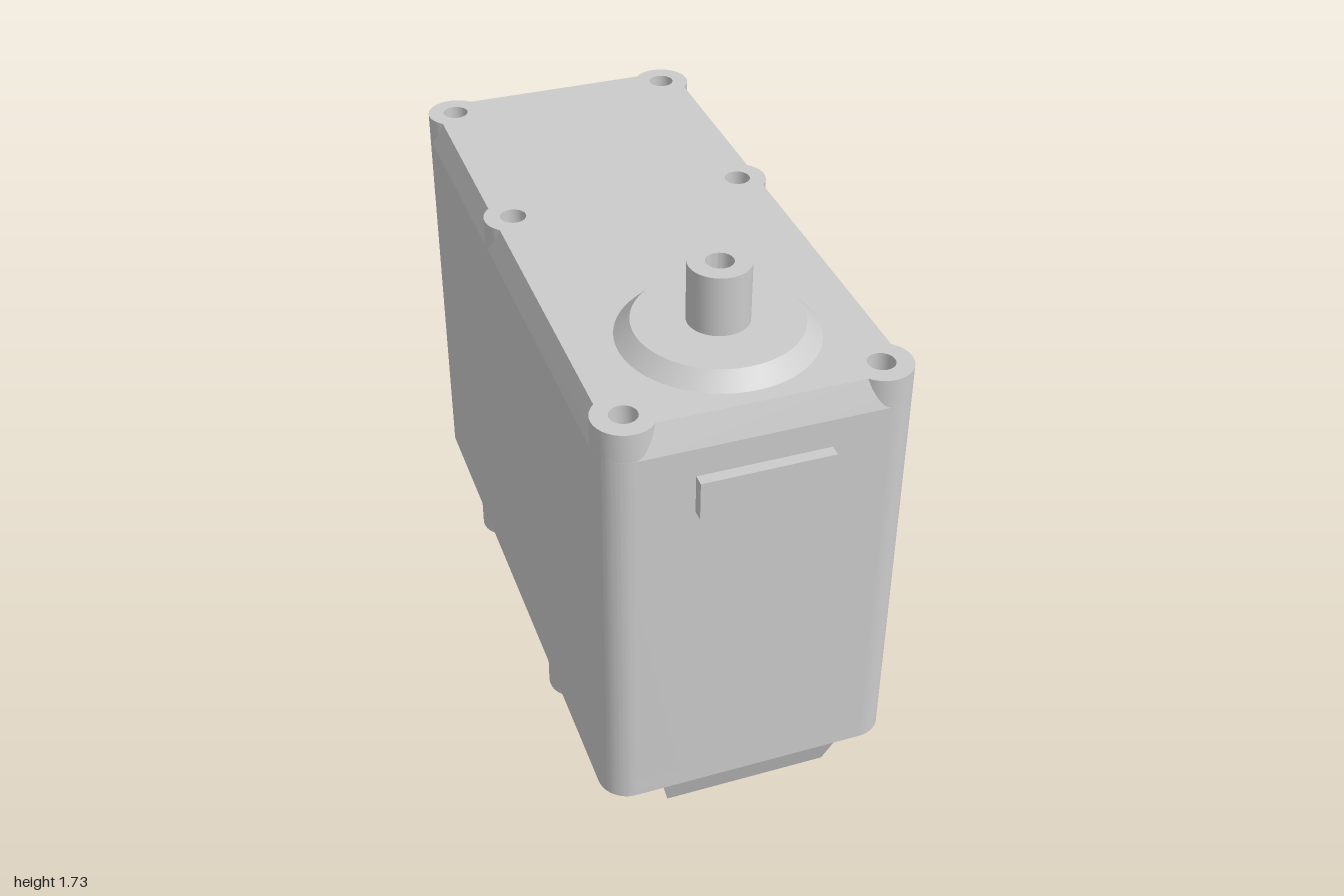
import * as THREE from 'three';
import { toCreasedNormals } from 'three/addons/utils/BufferGeometryUtils.js';

const HX = 0.455, HZ = 0.9825, R = 0.09; // half width, half length, corner/boss radius
const CX = HX - R, CZ = HZ - R;          // screw axis distances from centre
const HOLE = 0.04, INSET = 0.03;
const material = new THREE.MeshStandardMaterial({ color: 0xcccccc, side: THREE.DoubleSide });

function add(parent, name, geometry, x = 0, y = 0, z = 0) {
  const mesh = new THREE.Mesh(toCreasedNormals(geometry, 0.5), material);
  mesh.name = name;
  mesh.position.set(x, y, z);
  parent.add(mesh);
  return mesh;
}

// Rectangle outline (shape y = -z) with an arc at each corner, plus round side bosses.
// Corners bulge around their screw axis, or are scooped out when concave.
function outline(inset, cornerR, concave = false, bosses = []) {
  const shape = new THREE.Shape();
  const d = R - inset;
  let first = true;
  const arc = ([x, y], r, from, to, clockwise) => {
    const a = Math.acos(Math.min(1, d / r));
    if (first) shape.moveTo(x + r * Math.cos(from - a), y + r * Math.sin(from - a));
    first = false;
    shape.absarc(x, y, r, from - a, to + a, clockwise);
  };
  const corners = [[CX, -CZ], [CX, CZ], [-CX, CZ], [-CX, -CZ]];
  corners.forEach((c, k) => {
    const n = (k - 1) * Math.PI / 2;
    arc(c, cornerR, n, n + Math.PI / 2, concave);
    for (const b of bosses[k] || []) arc(b, R, n + Math.PI / 2, n + Math.PI / 2, false);
  });
  return shape;
}

function drill(shape, points) {
  for (const [x, y] of points) {
    const hole = new THREE.Path();
    hole.absarc(x, y, HOLE, 0, Math.PI * 2, true);
    shape.holes.push(hole);
  }
  return shape;
}

const slab = (shape, y0, y1) =>
  new THREE.ExtrudeGeometry(shape, { depth: y1 - y0, bevelEnabled: false, curveSegments: 12 })
    .rotateX(-Math.PI / 2).translate(0, y0, 0);

// Wall between two outlines at different heights
function loft(lower, upper, y0, y1) {
  const a = lower.getPoints(12), b = upper.getPoints(12), pos = [];
  for (let i = 0; i < a.length; i++) {
    const j = (i + 1) % a.length;
    const p = [a[i].x, y0, -a[i].y], q = [a[j].x, y0, -a[j].y];
    const r = [b[j].x, y1, -b[j].y], s = [b[i].x, y1, -b[i].y];
    pos.push(...p, ...q, ...r, ...p, ...r, ...s);
  }
  const g = new THREE.BufferGeometry();
  g.setAttribute('position', new THREE.Float32BufferAttribute(pos, 3));
  g.computeVertexNormals();
  return g;
}

export function createModel() {
  const model = new THREE.Group();
  model.name = 'gearedMotorHousing';
  const housing = new THREE.Group();
  housing.name = 'housing';
  housing.position.z = -0.0175;
  model.add(housing);

  const corners = [[CX, -CZ], [CX, CZ], [-CX, CZ], [-CX, -CZ]];

  // Main case, with screw holes in the scooped lower corners
  add(housing, 'case', slab(outline(0, R), 0.2, 1.41));
  add(housing, 'caseFoot', slab(drill(outline(0, R), corners), 0.14, 0.2));

  // Top cover: chamfered rim with six screw bosses
  const topBosses = [[[CX, 0.17]], [], [[-CX, 0.17]], []];
  add(housing, 'topCover', slab(
    drill(outline(INSET, R, false, topBosses), [...corners, ...topBosses.flat()]), 1.41, 1.5));
  add(housing, 'topChamfer', loft(outline(0, R), outline(INSET, R), 1.41, 1.5));

  // Bottom cover: scooped corners and five edge bosses
  const scoop = 0.125;
  const lowBosses = [
    [[CX, 0.15], [CX, 0.53]],
    [[0, CZ]],
    [[-CX, 0.48], [-CX, -0.37]],
    [],
  ];
  add(housing, 'bottomCover', slab(
    drill(outline(INSET, scoop, true, lowBosses), lowBosses.flat()), 0.05, 0.14));
  add(housing, 'bottomChamfer',
    loft(outline(INSET, scoop, true), outline(0, scoop, true), 0.05, 0.14));

  // Bearing flanges above and below
  add(model, 'topFlange', new THREE.CylinderGeometry(0.243, 0.288, 0.047, 64), 0, 1.5235, 0.6);
  add(model, 'bottomFlange', new THREE.CylinderGeometry(0.288, 0.243, 0.05, 64), 0, 0.025, 0.6);

  // Output shaft with a bore in its end
  const shaft = [[0.09, 1.54], [0.09, 1.73], [HOLE, 1.73], [HOLE, 1.6], [0, 1.6]];
  add(model, 'outputShaft', new THREE.LatheGeometry(
    shaft.map(([x, y]) => new THREE.Vector2(x, y)), 40), 0, 0, 0.6);

  // Raised plate on the front
  add(model, 'frontPlate', new THREE.BoxGeometry(0.39, 0.12, 0.05), 0, 1.26, 0.975);

  return model;
}
